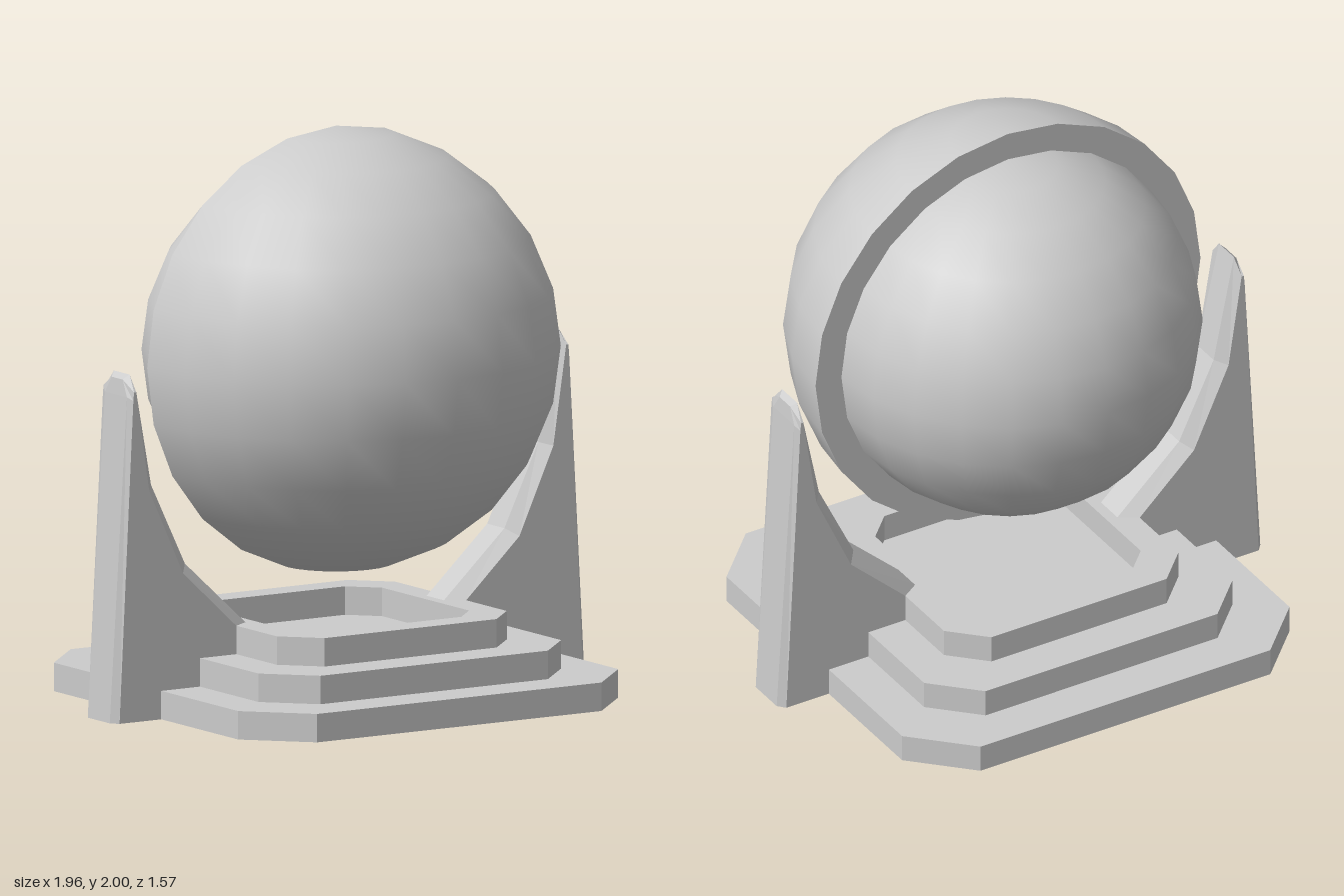
import * as THREE from 'three';

const flat = new THREE.MeshStandardMaterial({ color: 0xcccccc, flatShading: true, side: THREE.DoubleSide });
const smooth = new THREE.MeshStandardMaterial({ color: 0xcccccc, side: THREE.DoubleSide });

function add(parent, name, geometry, material) {
  const mesh = new THREE.Mesh(geometry, material);
  mesh.name = name;
  parent.add(mesh);
  return mesh;
}

// Joins equal loops of points by quads, optionally capping both ends.
function loft(loops, capStart, capEnd, outline) {
  const n = loops[0].length;
  const index = [];
  for (let i = 0; i < loops.length - 1; i++) {
    for (let j = 0; j < n; j++) {
      const k = (j + 1) % n;
      const a = i * n + j, b = i * n + k, c = a + n, d = b + n;
      index.push(a, b, d, a, d, c);
    }
  }
  const cap = (start, flip) => {
    for (const [a, b, c] of THREE.ShapeUtils.triangulateShape(outline, [])) {
      index.push(start + a, start + (flip ? c : b), start + (flip ? b : c));
    }
  };
  if (capStart) cap(0, true);
  if (capEnd) cap((loops.length - 1) * n, false);
  const geometry = new THREE.BufferGeometry();
  geometry.setAttribute('position', new THREE.Float32BufferAttribute(loops.flat(2), 3));
  geometry.setIndex(index);
  const result = geometry.toNonIndexed();
  result.computeVertexNormals();
  return result;
}

// Square with cut corners, counter-clockwise seen from above.
function octagon(half, cut, y) {
  return [
    [half, y, cut], [half, y, -cut], [cut, y, -half], [-cut, y, -half],
    [-half, y, -cut], [-half, y, cut], [-cut, y, half], [cut, y, half],
  ];
}

// Hollow stepped base: each tier is a wall and a shelf reaching the next tier.
function createBase() {
  const base = new THREE.Group();
  base.name = 'base';
  const sizes = [[0.785, 0.587], [0.625, 0.47], [0.475, 0.355], [0.37, 0.277]];
  ['lowerTier', 'middleTier', 'upperTier'].forEach((name, i) => {
    const y = 0.1 * i;
    add(base, name, loft([
      octagon(...sizes[i], y), octagon(...sizes[i], y + 0.1), octagon(...sizes[i + 1], y + 0.1),
    ]), flat);
  });
  // Recess sunk into the upper tier
  const floor = octagon(...sizes[3], 0.2);
  add(base, 'recess', loft([octagon(...sizes[3], 0.3), floor], false, true,
    floor.map(([x, , z]) => new THREE.Vector2(x, -z))), flat);
  return base;
}

// Curved bracket with bevelled edges: [ridge x, y, half width, side x, y]
function supportGeometry() {
  const profile = [
    [0.98, 0, 0.07, 0.957, 0],
    [0.909, 1.14, 0.07, 0.9, 1.13],
    [0.904, 1.197, 0.035, 0.897, 1.16],
    [0.885, 1.215, 0.05, 0.888, 1.16],
    [0.8, 0.82, 0.055, 0.835, 0.81],
    [0.66, 0.53, 0.055, 0.695, 0.505],
    [0.41, 0.3, 0.055, 0.475, 0.3],
    [0.41, 0.15, 0.055, 0.475, 0.15],
    [0.78, 0, 0.07, 0.78, 0],
  ];
  const side = (s) => profile.map((p) => [p[3], p[4], s * 0.097]);
  const ridge = (s) => profile.map((p) => [p[0], p[1], s * p[2]]);
  const outline = profile.map((p) => new THREE.Vector2(p[3], p[4]));
  return loft([side(-1), ridge(-1), ridge(1), side(1)], true, true, outline);
}

export function createModel() {
  const model = new THREE.Group();
  model.name = 'globeOnStand';
  model.add(createBase());

  // Two supports, one turned half way round
  const support = supportGeometry();
  add(model, 'leftSupport', support, flat);
  add(model, 'rightSupport', support, flat).rotation.y = Math.PI;

  // Globe: a large front half, a smaller back half and the rim between them
  const globe = new THREE.Group();
  globe.name = 'globe';
  globe.position.y = 1.22;
  add(globe, 'frontHalf', new THREE.SphereGeometry(0.78, 12, 12, 0, Math.PI), smooth);
  add(globe, 'backHalf', new THREE.SphereGeometry(0.675, 12, 12, Math.PI, Math.PI), smooth);
  add(globe, 'rim', new THREE.RingGeometry(0.675, 0.78, 24), flat).rotation.y = Math.PI;
  model.add(globe);

  return model;
}
